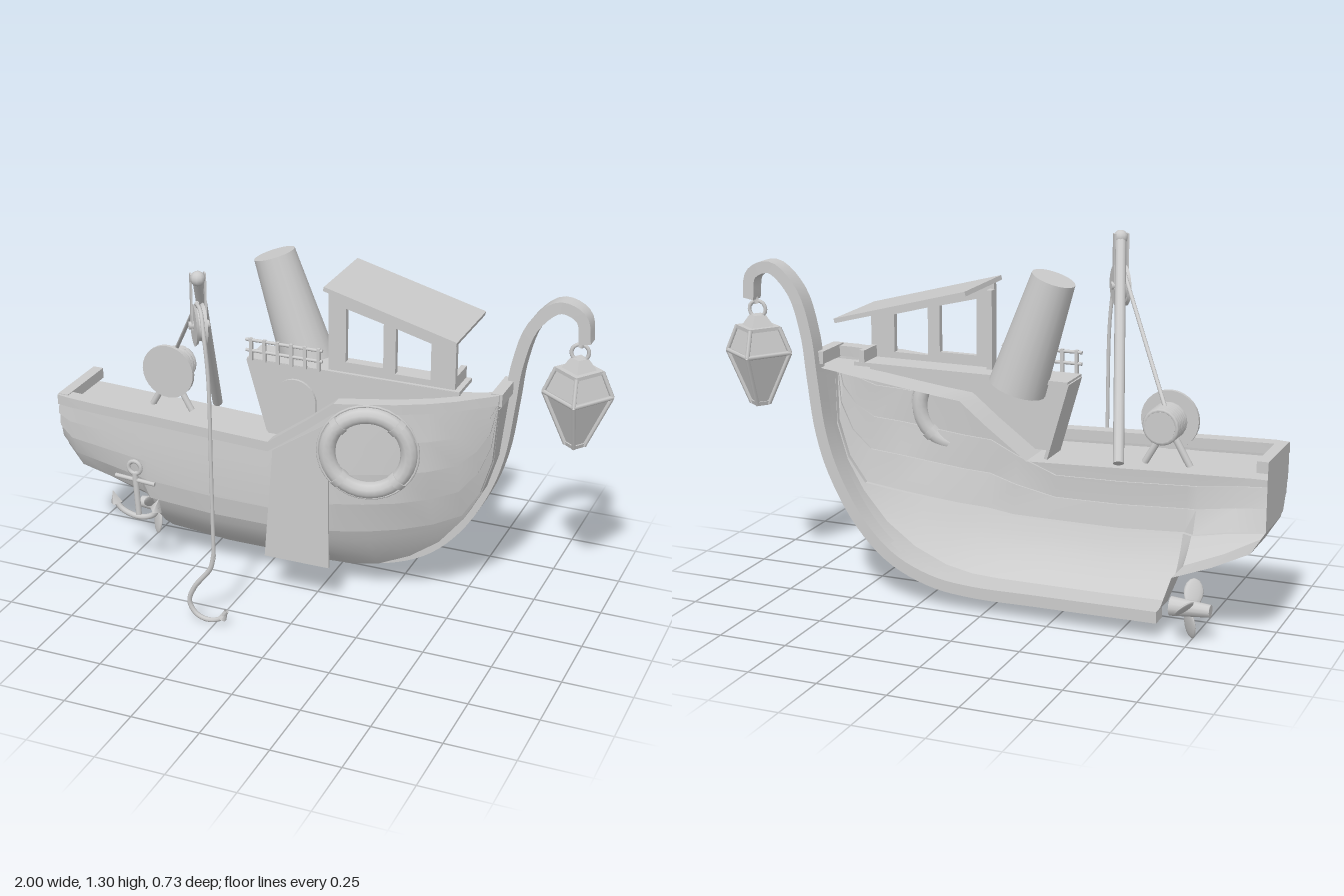
import * as THREE from 'three';
import { toCreasedNormals } from 'three/addons/utils/BufferGeometryUtils.js';

const mat = new THREE.MeshStandardMaterial({ color: 0xcccccc, side: THREE.DoubleSide });
const CZ = -0.195; // centre plane of the half hull
const V = (x, y, z) => new THREE.Vector3(x, y, z);

// x, bottom y, chine y, sheer y, half breadth, bottom half breadth, section fullness
const STATIONS = [
  [-1, .42, .43, .63, .27, .2, 3], [-.95, .34, .35, .63, .28, .19, 3], [-.82, .275, .33, .625, .285, .16, 3.5],
  [-.68, .22, .3, .62, .285, .14, 4], [-.64, .1, .295, .62, .285, .1, 4], [-.4, .09, .28, .61, .285, .115, 4],
  [-.15, .09, .28, .6, .285, .115, 4], [0, .09, .285, .71, .285, .115, 4], [.1, .095, .3, .79, .285, .115, 4],
  [.2, .115, .31, .8, .275, .115, 3.5], [.32, .17, .33, .815, .265, .11, 3], [.43, .25, .355, .83, .245, .11, 2.5],
  [.52, .36, .385, .84, .21, .105, 2], [.58, .47, .48, .85, .185, .1, 1.5], [.62, .6, .61, .855, .165, .1, 1.3],
  [.65, .85, .852, .86, .15, .15, 1],
];

export function createModel() {
  const root = new THREE.Group();
  root.name = 'fishingBoat';

  const add = (name, geo, pos = [0, 0, 0], rot = [0, 0, 0], parent = root) => {
    const m = new THREE.Mesh(geo, mat);
    m.name = name;
    m.position.set(...pos);
    m.rotation.set(...rot);
    parent.add(m);
    return m;
  };
  const box = (name, w, h, d, pos, rot, parent) => add(name, new THREE.BoxGeometry(w, h, d), pos, rot, parent);
  const rod = (name, a, b, r, parent, sides = 10) => {
    const m = add(name, new THREE.CylinderGeometry(r, r, a.distanceTo(b), sides), [0, 0, 0], [0, 0, 0], parent);
    m.position.copy(a).add(b).multiplyScalar(.5);
    m.quaternion.setFromUnitVectors(V(0, 1, 0), b.clone().sub(a).normalize());
    return m;
  };
  const tube = (name, pts, r, parent, n = 40) =>
    add(name, new THREE.TubeGeometry(new THREE.CatmullRomCurve3(pts), n, r, 8), [0, 0, 0], [0, 0, 0], parent);
  const plate = (name, pts, depth, z, holes = [], parent = root) => {
    const s = new THREE.Shape(pts.map(p => new THREE.Vector2(...p)));
    holes.forEach(h => s.holes.push(new THREE.Path(h.map(p => new THREE.Vector2(...p)))));
    return add(name, new THREE.ExtrudeGeometry(s, { depth, bevelEnabled: false }), [0, 0, z], [0, 0, 0], parent);
  };
  // skin between cross-sections
  const loft = (name, rings, closed, crease = .5) => {
    const n = rings[0].length, idx = [];
    for (let i = 0; i < rings.length - 1; i++)
      for (let j = 0; j < (closed ? n : n - 1); j++) {
        const a = i * n + j, b = i * n + (j + 1) % n;
        idx.push(a, b, a + n, b, b + n, a + n);
      }
    const g = new THREE.BufferGeometry();
    g.setAttribute('position', new THREE.Float32BufferAttribute(rings.flat(2), 3));
    g.setIndex(idx);
    return add(name, toCreasedNormals(g, crease));
  };
  const capped = rings => {
    const mid = r => r.map(() => [0, 1, 2].map(k => r.reduce((s, p) => s + p[k], 0) / r.length));
    return [mid(rings[0]), ...rings, mid(rings[rings.length - 1])];
  };

  // Half hull: smooth bottom, then lapped planks
  const section = ([x, b, c, r, W, zb, e]) => {
    const z = y => CZ + zb + (W - zb) * (1 - Math.pow(1 - (y - b) / (r - b), e));
    const pts = [[x, b, CZ]];
    for (let i = 0; i <= 4; i++) { const y = b + (c - b) * i / 4; pts.push([x, y, z(y) - .008]); }
    for (let i = 0; i < 4; i++) {
      const y0 = c + (r - c) * i / 4, y1 = c + (r - c) * (i + 1) / 4;
      pts.push([x, y0, z(y0) + .009], [x, y1, z(y1) + .002]);
    }
    return pts;
  };
  const hull = STATIONS.map(section);
  loft('hull', [hull[0].map(p => [p[0], p[1], CZ]), ...hull], false, .45);

  // Deck, rail and end rails
  loft('deck', STATIONS.map(([x, , , r, W]) => [[x, r - .03, CZ], [x, r - .03, CZ + W]]), false, .6);
  loft('rail', capped(STATIONS.map(([x, , , r, W]) => {
    const z = CZ + W;
    return [[x, r - .01, z - .04], [x, r - .01, z + .012], [x, r + .027, z + .012], [x, r + .027, z - .04]];
  })), true);
  box('sternRail', .04, .04, .27, [-.98, .64, -.055]);
  box('bowRail', .04, .045, .16, [.64, .865, -.12]);

  // Keel sweeping up into the curled stem
  const keelPath = new THREE.CatmullRomCurve3([[-.64, .083], [-.2, .08], [.05, .08], [.2, .1], [.35, .165], [.47, .28],
    [.57, .45], [.62, .6], [.65, .8], [.67, .95], [.72, 1.1], [.81, 1.18], [.885, 1.15], [.9, 1.06]].map(p => V(p[0], p[1], 0)));
  const keel = [];
  for (let i = 0; i <= 60; i++) {
    const p = keelPath.getPoint(i / 60), t = keelPath.getTangent(i / 60);
    const h = .021, w = i > 45 ? .033 - (i - 45) * .0004 : .033;
    keel.push([[-1, -1], [1, -1], [1, 1], [-1, 1]].map(([u, v]) => [p.x - t.y * h * u, p.y + t.x * h * u, -.198 + w * v]));
  }
  loft('keelAndStem', capped(keel), true);

  // Side board hung from the rail
  plate('sideBoard', [[-.165, .17], [.085, .17], [.08, .74], [-.13, .6]], .008, .097);

  // Deck cabin, open towards the centre plane
  plate('cabinSide', [[-.3, .86], [-.22, .58], [-.1, .58], [.1, .73], [.5, .8], [.5, .86]], .012, -.072);
  box('cabinTop', .8, .014, .135, [.1, .855, -.128]);
  box('cabinAftWall', .012, .28, .13, [-.26, .72, -.13], [0, 0, .278]);
  const arch = new THREE.Shape();
  arch.moveTo(-.19, .59); arch.lineTo(-.03, .59); arch.lineTo(-.03, .73);
  arch.absarc(-.11, .73, .08, 0, Math.PI); arch.lineTo(-.19, .59);
  add('door', new THREE.ExtrudeGeometry(arch, { depth: .012, bevelEnabled: false, curveSegments: 10 }), [0, 0, -.062]);

  // Cabin railing
  for (let i = 0; i < 6; i++) box('railingPost', .012, .085, .012, [-.28 + i * .052, .9, -.055]);
  for (const y of [.895, .935]) rod('railingBar', V(-.3, y, -.055), V(-.005, y, -.055), .006);

  // Wheelhouse with two side windows and a sloping roof
  plate('wheelhouseSide', [[.01, .86], [.48, .86], [.48, 1.04], [.01, 1.16]], .022, -.095, [
    [[.075, .9], [.075, 1.1], [.215, 1.065], [.215, .9]],
    [[.26, .885], [.26, 1.055], [.39, 1.02], [.39, .885]],
  ]);
  box('wheelhouseSill', .02, .05, .11, [.47, .88, -.14]);
  box('wheelhousePost', .02, .28, .03, [.015, 1, -.11]);
  box('roof', .505, .016, .315, [.245, 1.107, -.203], [0, 0, -.262]);

  // Raked funnel
  const funnelTop = V(-.25, 1.215, -.2), funnelFoot = V(-.12, .83, -.2);
  const funnel = add('funnel', new THREE.CylinderGeometry(.076, .1, .406, 20));
  funnel.position.copy(funnelTop).add(funnelFoot).multiplyScalar(.5);
  funnel.quaternion.setFromUnitVectors(V(0, 1, 0), funnelTop.clone().sub(funnelFoot).normalize());

  // Lifebuoy with lashings
  const buoy = new THREE.Group();
  buoy.name = 'lifebuoy';
  buoy.position.set(.23, .655, .103);
  buoy.rotation.y = .26;
  root.add(buoy);
  add('buoyRing', new THREE.TorusGeometry(.143, .03, 10, 32), [0, 0, 0], [0, 0, 0], buoy);
  for (let i = 0; i < 4; i++) {
    const a = i * Math.PI / 2 + .8;
    add('lashing', new THREE.CylinderGeometry(.034, .034, .025, 10), [.143 * Math.cos(a), .143 * Math.sin(a), 0], [0, 0, a], buoy);
  }
  add('buoyRope', new THREE.TorusGeometry(.176, .005, 6, 32), [0, 0, 0], [0, 0, 0], buoy);

  // Anchor
  const anchor = new THREE.Group();
  anchor.name = 'anchor';
  anchor.position.set(-.68, 0, .11);
  root.add(anchor);
  add('anchorRing', new THREE.TorusGeometry(.025, .008, 8, 16), [0, .43, 0], [0, 0, 0], anchor);
  rod('anchorShank', V(0, .41, 0), V(.01, .24, 0), .011, anchor);
  rod('anchorStock', V(-.08, .385, 0), V(.08, .375, 0), .008, anchor);
  tube('anchorArms', [V(-.09, .29, 0), V(-.06, .25, 0), V(.01, .23, 0), V(.07, .25, 0), V(.09, .29, 0)], .011, anchor, 20);
  for (const s of [-1, 1]) add('fluke', new THREE.ConeGeometry(.025, .05, 4), [s * .088, .295, 0], [0, 0, s * -.3], anchor);

  // Propeller
  const hub = add('propellerHub', new THREE.CylinderGeometry(.022, .034, .14, 12), [-.75, .12, CZ], [0, 0, Math.PI / 2]);
  hub.name = 'propellerHub';
  for (let i = 0; i < 3; i++) {
    const arm = new THREE.Group();
    arm.name = 'propellerBlade';
    arm.position.set(-.745, .12, CZ);
    arm.rotation.x = -1.25 + i * Math.PI * 2 / 3;
    root.add(arm);
    add('blade', new THREE.SphereGeometry(1, 12, 8).scale(.038, .052, .008), [0, .063, 0], [0, .75, 0], arm);
  }

  // Winch: flange, wound drum and feet
  const turn = [Math.PI / 2, 0, 0];
  add('winchFlange', new THREE.CylinderGeometry(.102, .102, .014, 28), [-.63, .742, -.088], turn);
  add('winchDrum', new THREE.CylinderGeometry(.052, .052, .11, 18), [-.63, .742, -.145], turn);
  for (let i = 0; i < 6; i++) add('ropeCoil', new THREE.TorusGeometry(.055, .01, 6, 18), [-.63, .742, -.105 - i * .017]);
  for (const s of [-1, 1]) rod('winchFoot', V(-.63, .73, -.11), V(-.63 + s * .08, .59, -.11), .012);

  // Derrick boom, pulley and hoisting rope
  const tip = V(-.315, 1.28, .285);
  rod('boom', V(-.485, .6, CZ), tip, .019);
  add('boomCap', new THREE.SphereGeometry(.026, 10, 8), tip.toArray());
  const pulley = new THREE.Group();
  pulley.name = 'pulley';
  pulley.position.set(-.32, 1.11, .275);
  pulley.rotation.y = -.95;
  root.add(pulley);
  for (const s of [-1, 1]) {
    add('pulleyCheek', new THREE.CylinderGeometry(.073, .066, .01, 24), [0, 0, s * .014], [s * Math.PI / 2, 0, 0], pulley);
    box('pulleyStrap', .022, .2, .006, [0, .085, s * .024], [0, 0, 0], pulley);
  }
  add('pulleyCore', new THREE.CylinderGeometry(.056, .056, .03, 20), [0, 0, 0], turn, pulley);
  add('pulleyAxle', new THREE.CylinderGeometry(.014, .014, .07, 10), [0, 0, 0], turn, pulley);
  rod('winchRope', V(-.63, .8, -.15), V(-.34, 1.175, .245), .007);
  tube('hoistRope', [V(-.34, 1.175, .25), V(-.3, 1.17, .3), V(-.275, 1.1, .333), V(-.258, .95, .342), V(-.252, .6, .35), V(-.25, .26, .35)], .007);
  tube('hook', [V(-.25, .28, .35), V(-.265, .22, .35), V(-.33, .13, .35), V(-.35, .07, .35), V(-.325, .025, .35),
    V(-.28, .01, .35), V(-.23, .025, .35), V(-.205, .06, .35)], .009);
  add('hookBarb', new THREE.ConeGeometry(.016, .04, 6), [-.212, .045, .35], [0, 0, -.5]);

  // Four-sided lantern hanging from the stem
  const lantern = new THREE.Group();
  lantern.name = 'lantern';
  lantern.position.set(.88, 0, CZ);
  lantern.rotation.y = .16;
  root.add(lantern);
  const four = (name, rt, rb, y0, y1) => {
    const g = new THREE.CylinderGeometry(rt, rb, y1 - y0, 4).toNonIndexed();
    g.computeVertexNormals();
    add(name, g, [0, (y0 + y1) / 2, 0], [0, 0, 0], lantern);
  };
  four('lanternGlass', .112, .03, .68, .865);
  four('lanternHood', .078, .112, .865, .95);
  four('lanternBase', .04, .034, .67, .685);
  four('lanternTop', .085, .085, .947, .96);
  four('lanternCap', .03, .06, .96, 1);
  const ringAt = (r, y, i) => V(r * Math.sin(i * Math.PI / 2), y, r * Math.cos(i * Math.PI / 2));
  for (let i = 0; i < 4; i++) {
    rod('lanternBar', ringAt(.033, .675, i), ringAt(.118, .865, i), .008, lantern, 6);
    rod('lanternBar', ringAt(.118, .865, i), ringAt(.08, .955, i), .008, lantern, 6);
    rod('lanternRim', ringAt(.118, .865, i), ringAt(.118, .865, i + 1), .008, lantern, 6);
  }
  add('lanternLoop', new THREE.TorusGeometry(.03, .007, 8, 16), [0, 1.02, 0], [0, 0, 0], lantern);
  rod('lanternLink', V(0, 1.04, 0), V(.015, 1.085, 0), .01, lantern);

  return root;
}
